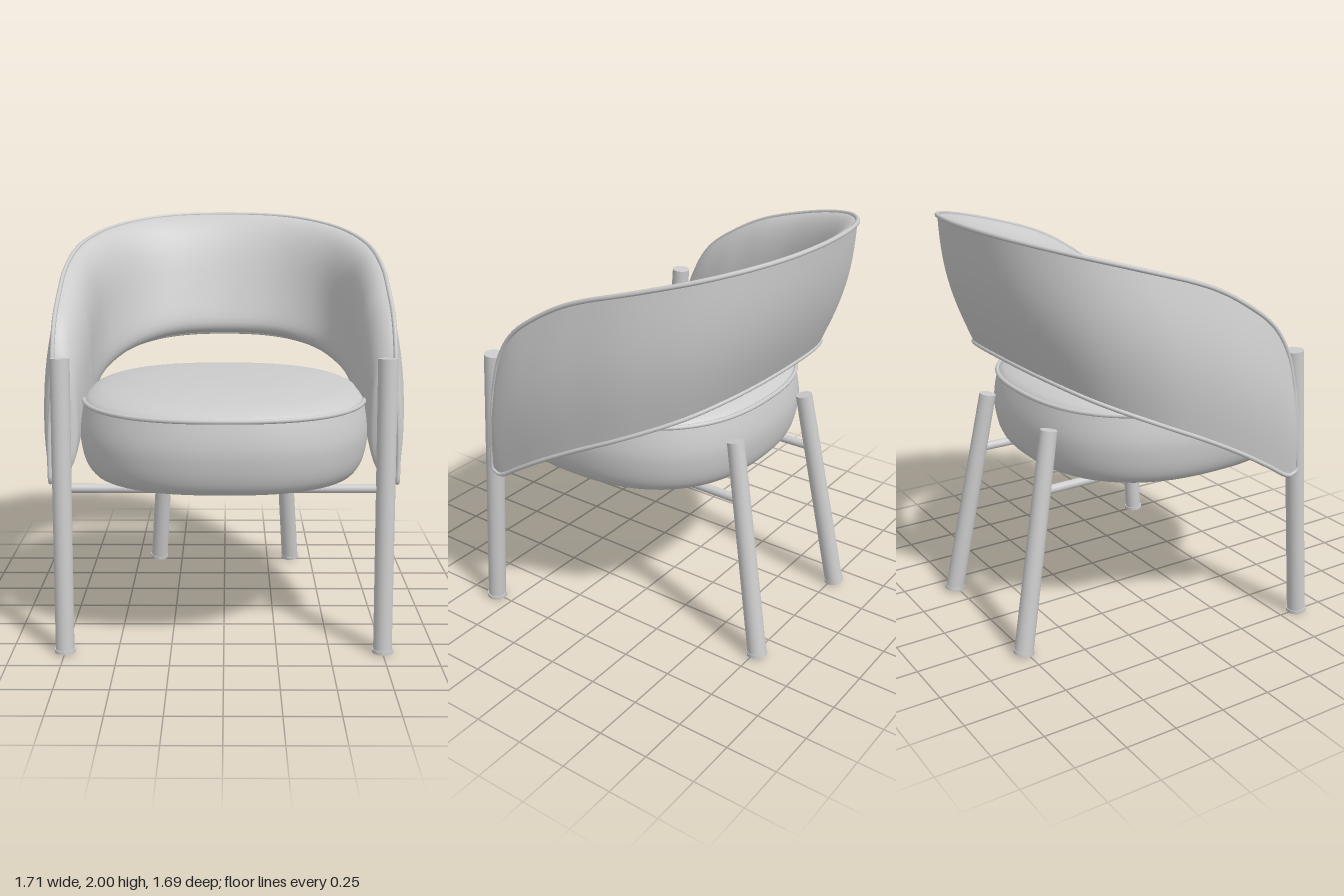
import * as THREE from 'three';
import { mergeVertices, toCreasedNormals } from 'three/addons/utils/BufferGeometryUtils.js';

const material = new THREE.MeshStandardMaterial({ color: 0xcccccc, roughness: 0.8 });
const vec = (x, y, z) => new THREE.Vector3(x, y, z);

function addMesh(parent, name, geometry) {
  const mesh = new THREE.Mesh(geometry, material);
  mesh.name = name;
  parent.add(mesh);
  return mesh;
}

// Round bar between two points
function addRod(parent, name, from, to, rFrom, rTo = rFrom) {
  const dir = to.clone().sub(from);
  const mesh = addMesh(parent, name, new THREE.CylinderGeometry(rTo, rFrom, dir.length(), 24));
  mesh.position.copy(from).addScaledVector(dir, 0.5);
  mesh.quaternion.setFromUnitVectors(vec(0, 1, 0), dir.normalize());
}

// ---- Seat: turned profile squared off a little in plan ----
const SEAT_Z = 0.14, SEAT_POWER = 2.45;
function seatStretch(angle) {
  const c = Math.abs(Math.cos(angle)), s = Math.abs(Math.sin(angle));
  return Math.pow(c ** SEAT_POWER + s ** SEAT_POWER, -1 / SEAT_POWER);
}

function seatGeometry(profile) {
  const points = new THREE.SplineCurve(profile.map(([r, y]) => new THREE.Vector2(r, y))).getPoints(28);
  points.forEach(p => { p.x = Math.max(p.x, 0); });
  let geometry = new THREE.LatheGeometry(points, 72);
  const pos = geometry.attributes.position;
  for (let i = 0; i < pos.count; i++) {
    const k = seatStretch(Math.atan2(pos.getZ(i), pos.getX(i)));
    pos.setXYZ(i, pos.getX(i) * k * 0.985, pos.getY(i), pos.getZ(i) * k + SEAT_Z);
  }
  geometry.deleteAttribute('uv');
  geometry.deleteAttribute('normal');
  geometry = mergeVertices(geometry, 1e-4);
  geometry.computeVertexNormals();
  return geometry;
}

function buildSeat() {
  const seat = new THREE.Group();
  seat.name = 'seat';
  addMesh(seat, 'seatBase', seatGeometry([[0, 0.82], [0.35, 0.82], [0.61, 0.82], [0.66, 0.837],
    [0.692, 0.9], [0.708, 1.0], [0.703, 1.08], [0.685, 1.165]]));
  addMesh(seat, 'seatCushionTop', seatGeometry([[0.685, 1.165], [0.655, 1.19], [0.58, 1.216],
    [0.4, 1.242], [0.2, 1.252], [0, 1.254]]));
  const seam = [];
  for (let i = 0; i < 48; i++) {
    const a = i / 48 * Math.PI * 2, r = 0.688 * seatStretch(a);
    seam.push(vec(Math.cos(a) * r * 0.985, 1.165, Math.sin(a) * r + SEAT_Z));
  }
  addMesh(seat, 'seatPiping', new THREE.TubeGeometry(new THREE.CatmullRomCurve3(seam, true), 120, 0.011, 8, true));
  return seat;
}

// ---- Backrest: padded band between an upper and a lower edge curve ----
// Each curve lists one half, front end to centre of the back
function mirroredCurve(half) {
  const left = half.map(p => vec(...p));
  const right = half.slice(0, -1).reverse().map(([x, y, z]) => vec(-x, y, z));
  return new THREE.CatmullRomCurve3([...left, ...right]);
}
const topEdge = mirroredCurve([[0.795, 1.22, 0.47], [0.795, 1.4, 0.42], [0.795, 1.54, 0.33], [0.79, 1.66, 0.17],
  [0.782, 1.76, -0.02], [0.735, 1.86, -0.33], [0.595, 1.932, -0.595], [0.345, 1.978, -0.775], [0, 1.99, -0.83]]);
const lowEdge = mirroredCurve([[0.81, 0.81, 0.5], [0.815, 0.795, 0.45], [0.82, 0.87, 0.32], [0.82, 0.96, 0.17],
  [0.80, 1.06, -0.02], [0.735, 1.17, -0.26], [0.585, 1.265, -0.475], [0.335, 1.335, -0.612], [0, 1.355, -0.65]]);

// Point on the band: u runs round the sitter, v from low to top edge
function backPoint(u, v, inner) {
  const low = lowEdge.getPoint(u), top = topEdge.getPoint(u);
  const tangent = lowEdge.getTangent(u).add(topEdge.getTangent(u)).setY(0).normalize();
  const outward = tangent.cross(vec(0, 1, 0)).normalize();
  const fromEnd = Math.min(u, 1 - u);
  const side = Math.min(1, 1.4 * (1 - 2 * fromEnd));
  const end = Math.min(1, fromEnd / 0.06);
  const round = Math.sqrt(Math.max(0, 1 - (1 - end) ** 2));
  const taper = Math.min(1, fromEnd / 0.2);
  const bulge = Math.sin(Math.PI * v) * (0.035 + 0.018 * side) * (0.15 + 0.85 * Math.sqrt(taper));
  // padding is full along the lower back and rolls over softly elsewhere
  const power = v < 0.5 ? 12 - 9 * side : 3;
  const roll = Math.sqrt(Math.max(0, 1 - Math.abs(2 * v - 1) ** power));
  const thick = (0.115 + 0.06 * side) * (1.08 - 0.25 * v) * roll * (0.6 + 0.4 * taper);
  // the two faces meet along the free ends
  const offset = inner ? bulge * (1 - round) - thick * round : bulge;
  return low.lerp(top, v).addScaledVector(outward, offset);
}

function buildBackrest() {
  const back = new THREE.Group();
  back.name = 'backrest';
  const cols = 120, half = 24, rows = half * 2;
  const ease = t => (1 - Math.cos(Math.PI * t)) / 2;
  const positions = [], index = [];
  for (let i = 0; i <= cols; i++) {
    const t = i / cols, u = 0.3 * t + 0.7 * ease(t);
    for (let j = 0; j < rows; j++) {
      const inner = j > half;
      const v = ease(inner ? (rows - j) / half : j / half);
      positions.push(...backPoint(u, v, inner).toArray());
    }
  }
  for (let i = 0; i < cols; i++) {
    for (let j = 0; j < rows; j++) {
      const k = (j + 1) % rows;
      const a = i * rows + j, b = a + rows, c = (i + 1) * rows + k, d = i * rows + k;
      index.push(a, b, c, a, c, d);
    }
  }
  const geometry = new THREE.BufferGeometry();
  geometry.setAttribute('position', new THREE.Float32BufferAttribute(positions, 3));
  geometry.setIndex(index);
  addMesh(back, 'backrestShell', toCreasedNormals(geometry, 0.8));

  // Piping round the whole outline
  const outline = [];
  for (let i = 0; i <= 48; i++) outline.push(backPoint(i / 48, 1, false));
  for (let j = 5; j > 0; j--) outline.push(backPoint(1, j / 6, false));
  for (let i = 48; i >= 0; i--) outline.push(backPoint(i / 48, 0, false));
  for (let j = 1; j < 6; j++) outline.push(backPoint(0, j / 6, false));
  const path = new THREE.CatmullRomCurve3(outline, true);
  addMesh(back, 'backrestPiping', new THREE.TubeGeometry(path, 320, 0.011, 8, true));
  return back;
}

// ---- Frame: four legs and the rails below the seat ----
function buildFrame() {
  const frame = new THREE.Group();
  frame.name = 'frame';
  const barY = 0.785;
  for (const s of [1, -1]) {
    const frontFoot = vec(s * 0.75, 0.012, 0.598), backFoot = vec(s * 0.382, 0.015, -0.765);
    const frontTop = vec(s * 0.75, 1.39, 0.497), backTop = vec(s * 0.31, 1.07, -0.567);
    addRod(frame, 'frontLeg', frontFoot, frontTop, 0.044, 0.046);
    addRod(frame, 'backLeg', backFoot, backTop, 0.046, 0.041);
    // Feet, square to their legs
    addRod(frame, 'frontFoot', vec(s * 0.75, 0.003, 0.599), vec(s * 0.75, 0.02, 0.598), 0.049);
    addRod(frame, 'backFoot', vec(s * 0.383, 0.009, -0.766), vec(s * 0.382, 0.026, -0.763), 0.049);
    addRod(frame, 'sideRail', vec(s * 0.32, barY, 0.53), vec(s * 0.33, barY, -0.62), 0.021);
  }
  addRod(frame, 'frontRail', vec(-0.75, barY, 0.53), vec(0.75, barY, 0.53), 0.021);
  addRod(frame, 'crossRail', vec(-0.325, barY, -0.24), vec(0.325, barY, -0.24), 0.021);
  return frame;
}

export function createModel() {
  const model = new THREE.Group();
  model.name = 'armchair';
  model.add(buildSeat(), buildBackrest(), buildFrame());
  return model;
}
